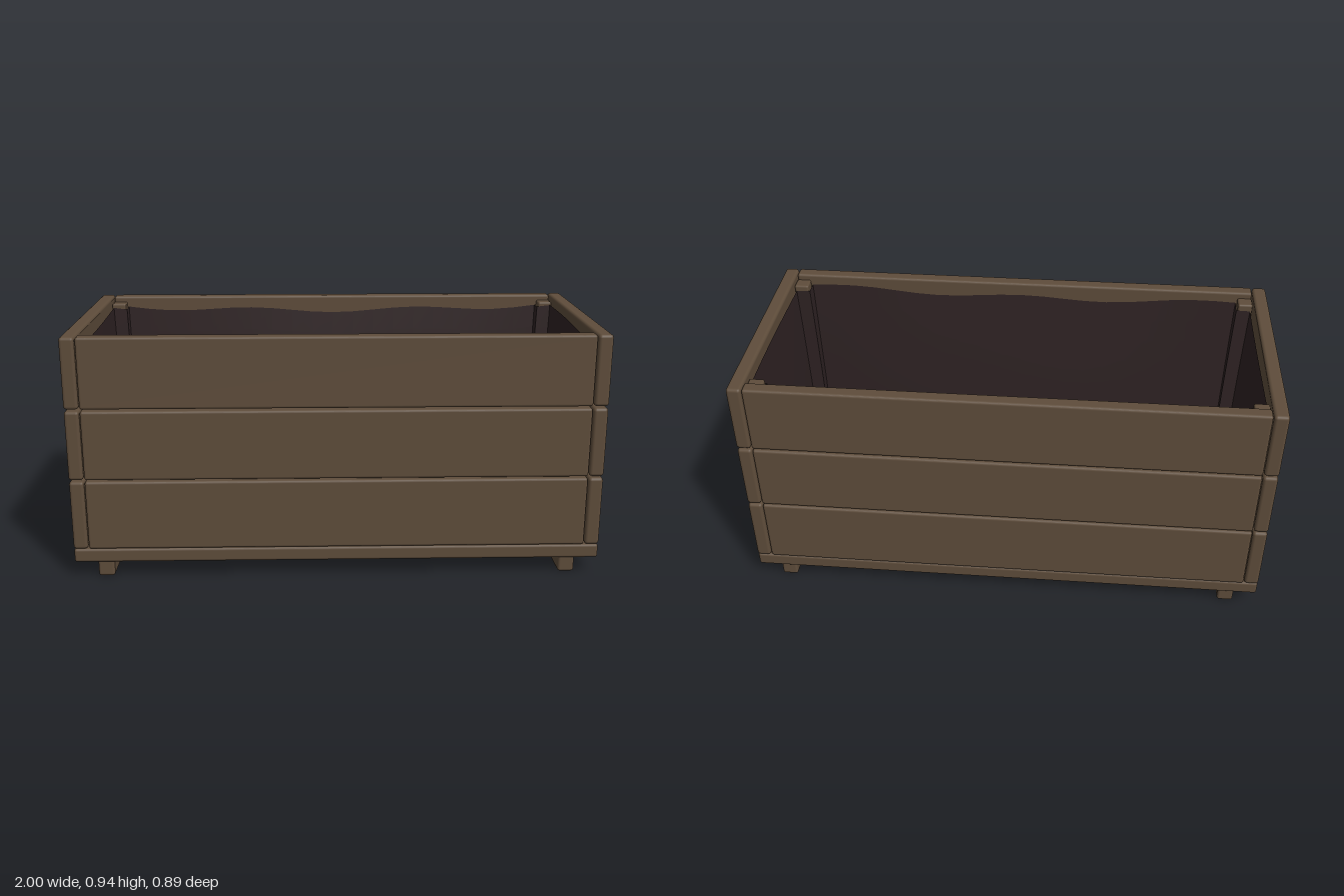
import * as THREE from 'three';
import { RoundedBoxGeometry } from 'three/addons/geometries/RoundedBoxGeometry.js';
import { toCreasedNormals } from 'three/addons/utils/BufferGeometryUtils.js';

const wood = new THREE.MeshStandardMaterial({ color: 0x5f4d3b });
wood.name = 'brownWood';
const fabric = new THREE.MeshStandardMaterial({ color: 0x2e2223, side: THREE.DoubleSide });
fabric.name = 'darkLiner';

// Plank with softened edges, given by its min and max corners
function plank(name, x0, x1, y0, y1, z0, z1, radius = 0.01) {
  const geo = new RoundedBoxGeometry(x1 - x0, y1 - y0, z1 - z0, 2, radius);
  const mesh = new THREE.Mesh(geo, wood);
  mesh.name = name;
  mesh.position.set((x0 + x1) / 2, (y0 + y1) / 2, (z0 + z1) / 2);
  return mesh;
}

// Outline of the liner: a rectangle notched around the four corner posts
function linerOutline() {
  const X = 0.935, Z = 0.392, nx = 0.88, nz = 0.335;
  const corners = [
    [nx, Z], [-nx, Z], [-nx, nz], [-X, nz], [-X, -nz], [-nx, -nz],
    [-nx, -Z], [nx, -Z], [nx, -nz], [X, -nz], [X, nz], [nx, nz],
  ];
  const points = [];
  corners.forEach((a, i) => {
    const b = corners[(i + 1) % corners.length];
    const n = Math.max(1, Math.round(Math.hypot(b[0] - a[0], b[1] - a[1]) / 0.09));
    for (let k = 0; k < n; k++) {
      points.push([a[0] + (b[0] - a[0]) * k / n, a[1] + (b[1] - a[1]) * k / n]);
    }
  });
  return points;
}

// Draped liner: rings from the rim down to the floor, sagging inward mid-side
function linerGeometry() {
  const outline = linerOutline(), n = outline.length, rings = 8, floorY = 0.135;
  const pos = [], index = [];
  for (let r = 0; r <= rings; r++) {
    const t = r / rings;
    for (const [x, z] of outline) {
      const u = x / 0.935, v = z / 0.392;
      const sagZ = (1 - u * u) * 0.035 + 0.02, sagX = (1 - v * v) * 0.015 + 0.015;
      const rim = 0.895 - 0.02 * (1 - u * u) + 0.01 * Math.sin(x * 9 + z * 4);
      const s = Math.sin(t * Math.PI / 2);
      pos.push(x * (1 - sagX * s / 0.935), rim + (floorY - rim) * t, z * (1 - sagZ * s / 0.392));
    }
  }
  for (let r = 0; r < rings; r++) {
    for (let i = 0; i < n; i++) {
      const a = r * n + i, b = r * n + (i + 1) % n;
      index.push(a, b, a + n, b, b + n, a + n);
    }
  }
  // Floor fan
  const centre = pos.length / 3;
  pos.push(0, floorY, 0);
  for (let i = 0; i < n; i++) {
    index.push(rings * n + i, rings * n + (i + 1) % n, centre);
  }
  const geo = new THREE.BufferGeometry();
  geo.setAttribute('position', new THREE.Float32BufferAttribute(pos, 3));
  geo.setIndex(index);
  return toCreasedNormals(geo, 0.7);
}

export function createModel() {
  const model = new THREE.Group();
  model.name = 'planterBox';

  // Three rows of side boards
  const rows = [[0.12, 0.389], [0.395, 0.661], [0.668, 0.937]];
  rows.forEach(([y0, y1], i) => {
    model.add(
      plank('frontBoard' + i, -0.942, 0.942, y0, y1, 0.393, 0.446),
      plank('backBoard' + i, -0.942, 0.942, y0, y1, -0.446, -0.393),
      plank('leftEndBoard' + i, 0.945, 1, y0, y1, -0.446, 0.446, 0.012),
      plank('rightEndBoard' + i, -1, -0.945, y0, y1, -0.446, 0.446, 0.012),
    );
  });

  // Floor slats
  [[0.156, 0.441], [-0.14, 0.145], [-0.441, -0.153]].forEach(([z0, z1], i) => {
    model.add(plank('floorSlat' + i, -1, 1, 0.064, 0.118, z0, z1));
  });

  // Foot rails and corner posts
  for (const s of [-1, 1]) {
    const side = s > 0 ? 'left' : 'right';
    model.add(plank(side + 'FootRail', s * 0.884 - 0.031, s * 0.884 + 0.031, 0, 0.068, -0.424, 0.424));
    for (const q of [-1, 1]) {
      const x = s * 0.914, z = q * 0.365;
      model.add(plank(side + (q > 0 ? 'Front' : 'Back') + 'Post',
        x - 0.029, x + 0.029, 0.11, 0.915, z - 0.029, z + 0.029, 0.008));
    }
  }

  // Inner liner
  const liner = new THREE.Mesh(linerGeometry(), fabric);
  liner.name = 'liner';
  model.add(liner);
  return model;
}
